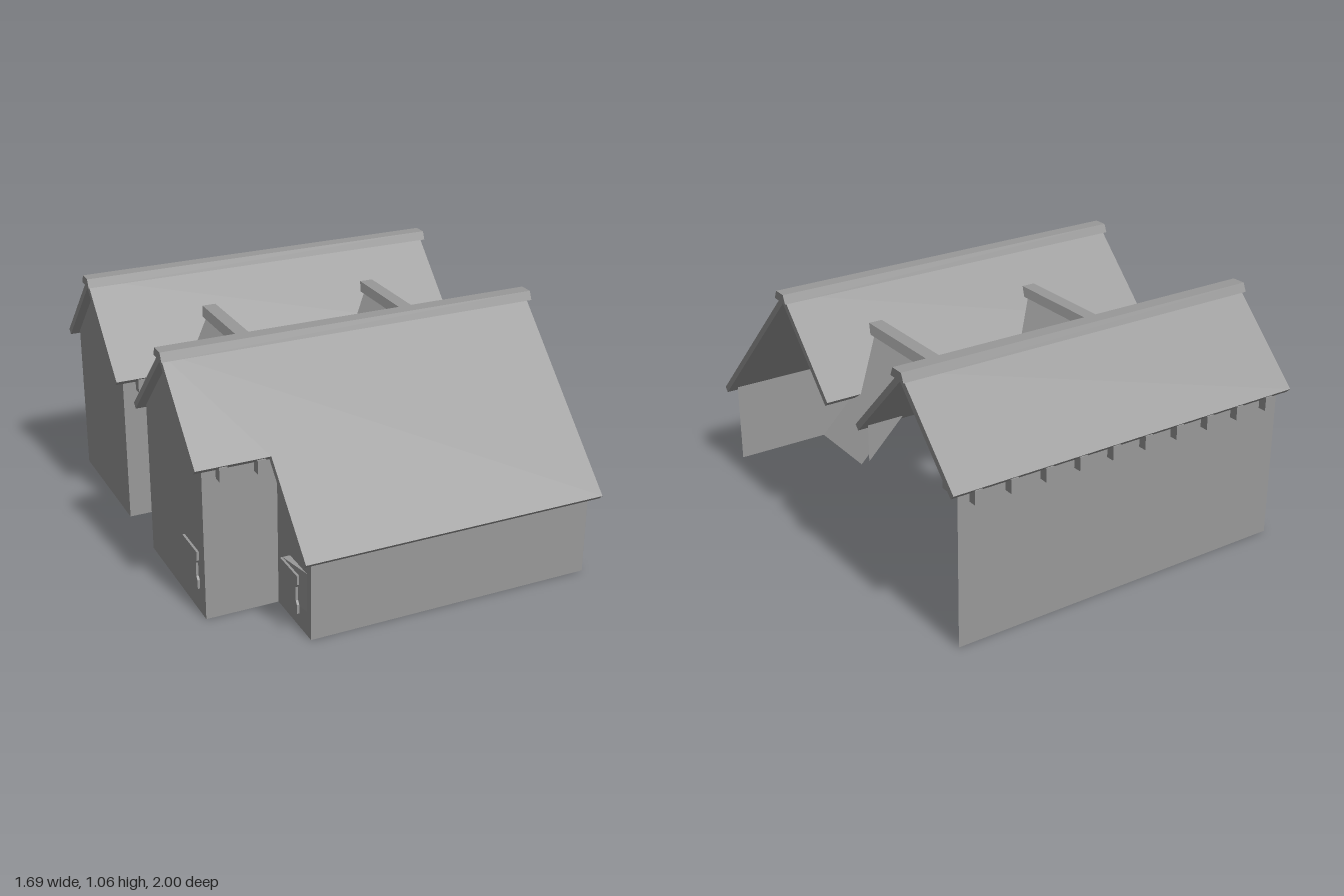
import * as THREE from 'three';

const material = new THREE.MeshStandardMaterial({ color: 0x999999, flatShading: true, side: THREE.DoubleSide });
const shapeOf = (pts) => new THREE.Shape(pts.map(([x, y]) => new THREE.Vector2(x, y)));
const extrude = (shape, depth) => new THREE.ExtrudeGeometry(shape, { depth, bevelEnabled: false });

export function createModel() {
  const model = new THREE.Group();

  const add = (name, geometry, x = 0, y = 0, z = 0, turn = 0) => {
    const mesh = new THREE.Mesh(geometry, material);
    mesh.name = name;
    mesh.position.set(x, y, z);
    mesh.rotation.y = turn;
    model.add(mesh);
  };

  // Thin walls: wallZ takes (x, y) corners, wallX takes (z, y) corners
  const wallZ = (name, z, pts) => add(name, new THREE.ShapeGeometry(shapeOf(pts)), 0, 0, z);
  const wallX = (name, x, pts) => add(name, new THREE.ShapeGeometry(shapeOf(pts)), x, 0, 0, -Math.PI / 2);

  // 45 degree roof slope; corners are (along ridge, horizontal distance from ridge)
  const S = Math.SQRT1_2;
  const slopeBasis = new THREE.Matrix4().makeBasis(
    new THREE.Vector3(1, 0, 0), new THREE.Vector3(0, -S, S), new THREE.Vector3(0, -S, -S));
  const slope = (name, thickness, x, y, z, turn, pts) => {
    const shape = shapeOf(pts.map(([a, d]) => [a, d / S]));
    const g = thickness ? extrude(shape, thickness) : new THREE.ShapeGeometry(shape);
    add(name, g.applyMatrix4(slopeBasis), x, y, z, turn);
  };

  // Trapezoid ridge cap running along local z
  const cap = (name, length, x, y, z, turn) => {
    const g = extrude(shapeOf([[-0.047, 0], [0.047, 0], [0.031, 0.037], [-0.031, 0.037]]), length);
    add(name, g.translate(0, 0, -length / 2), x, y, z, turn);
  };

  // Front house walls (the +x ends stay open)
  const lowWall = 0.37, highWall = 0.69, apex = 1.01;
  wallZ('frontWall', 0.957, [[-0.48, 0], [0.79, 0], [0.79, lowWall], [-0.48, lowWall]]);
  wallZ('recessedFrontWall', 0.64, [[-0.797, 0], [-0.48, 0], [-0.48, highWall], [-0.797, highWall]]);
  wallX('recessSideWall', -0.48, [[0.64, 0], [0.957, 0], [0.957, lowWall], [0.64, highWall]]);

  // Gable walls of both houses, and the rear wall
  for (const [name, c] of [['frontGableWall', 0.32], ['backGableWall', -0.637]]) {
    wallX(name, -0.797, [[c - 0.32, 0], [c + 0.32, 0], [c + 0.32, highWall], [c, apex], [c - 0.32, highWall]]);
  }
  wallZ('backWall', -0.957, [[-0.797, 0], [0.79, 0], [0.79, highWall], [-0.797, highWall]]);

  // Courtyard walls, cut out around the two linking wings
  for (const z of [0, -0.32]) {
    wallZ('courtyardWall', z, [[-0.797, 0], [-0.64, 0], [-0.64, 0.53], [-0.48, highWall], [-0.797, highWall]]);
    wallZ('courtyardMiddleWall', z, [[0, 0.53], [0.16, 0.53], [0.32, highWall], [-0.16, highWall]]);
    wallZ('courtyardEndWall', z, [[0.8, 0.53], [0.8, highWall], [0.64, highWall]]);
  }

  // Side walls of the linking wings
  wallX('wingSideWall', -0.64, [[0, 0], [0, 0.53], [-0.32, 0.53], [-0.32, 0]]);
  wallX('wingPassageWall', 0.16,
    [[0.16, 0], [0.16, 0.48], [0, 0.54], [-0.32, 0.54], [-0.48, 0.48], [-0.48, 0]]);

  // Main roofs
  const left = -0.837, right = 0.832;
  const rear = [[-right, 0], [-left, 0], [-left, 0.36], [-right, 0.36]];
  const plain = [[left, 0], [right, 0], [right, 0.36], [left, 0.36]];
  const notched = [[left, 0], [right, 0], [right, 0.68], [-0.52, 0.68], [-0.52, 0.36], [left, 0.36]];
  for (const [name, z, front] of [['frontHouse', 0.32, notched], ['backHouse', -0.637, plain]]) {
    slope(name + 'FrontRoof', 0.028, 0, 1.047, z, 0, front);
    slope(name + 'BackRoof', 0.028, 0, 1.047, z, Math.PI, rear);
    cap(name + 'RidgeCap', 1.69, 0, 1.02, z, Math.PI / 2);
  }

  // Wing roofs: straight between the courtyard walls, widening under the main roofs
  const wing = [[-0.345, 0], [0.345, 0], [0.16, 0.19], [0.16, 0.358], [-0.16, 0.358], [-0.16, 0.19]];
  for (const x of [-0.32, 0.477]) {
    for (const turn of [-Math.PI / 2, Math.PI / 2]) slope('wingRoof', 0, x, 0.885, -0.16, turn, wing);
    cap('wingRidgeCap', 0.74, x, 0.86, -0.16, 0);
  }

  // Rafter ends under the eaves
  const rafter = new THREE.BoxGeometry(0.035, 0.06, 0.04);
  for (let i = 0; i < 10; i++) {
    const x = -0.72 + i * 0.16;
    add('rafterEnd', rafter, x, 0.65, -0.975);
    if (i < 2) add('rafterEnd', rafter, x, 0.65, 0.66);
    const toRidge = Math.min(Math.abs(x + 0.32), Math.abs(x - 0.48));
    if (toRidge > 0.2 && i < 9) {
      add('rafterEnd', rafter, x, 0.65, -0.02);
      add('rafterEnd', rafter, x, 0.65, -0.3);
    }
  }

  // Window surrounds with wider head and sill
  const outline = shapeOf([[-0.08, -0.085], [0.08, -0.085], [0.08, -0.045], [0.068, -0.03], [0.068, 0.03],
    [0.08, 0.045], [0.08, 0.085], [-0.08, 0.085], [-0.08, 0.045], [-0.068, 0.03], [-0.068, -0.03], [-0.08, -0.045]]);
  for (const [x, z] of [[-0.797, 0.5], [-0.513, 0.84]]) {
    add('windowSurround', extrude(outline, 0.01), x, 0.195, z, -Math.PI / 2);
  }

  // Splayed reveal joining the projecting window to its wall
  const reveal = extrude(shapeOf([[-0.513, -0.76], [-0.48, -0.92], [-0.48, -0.76]]), 0.17);
  add('windowReveal', reveal.rotateX(-Math.PI / 2), 0, 0.11, 0);

  return model;
}
